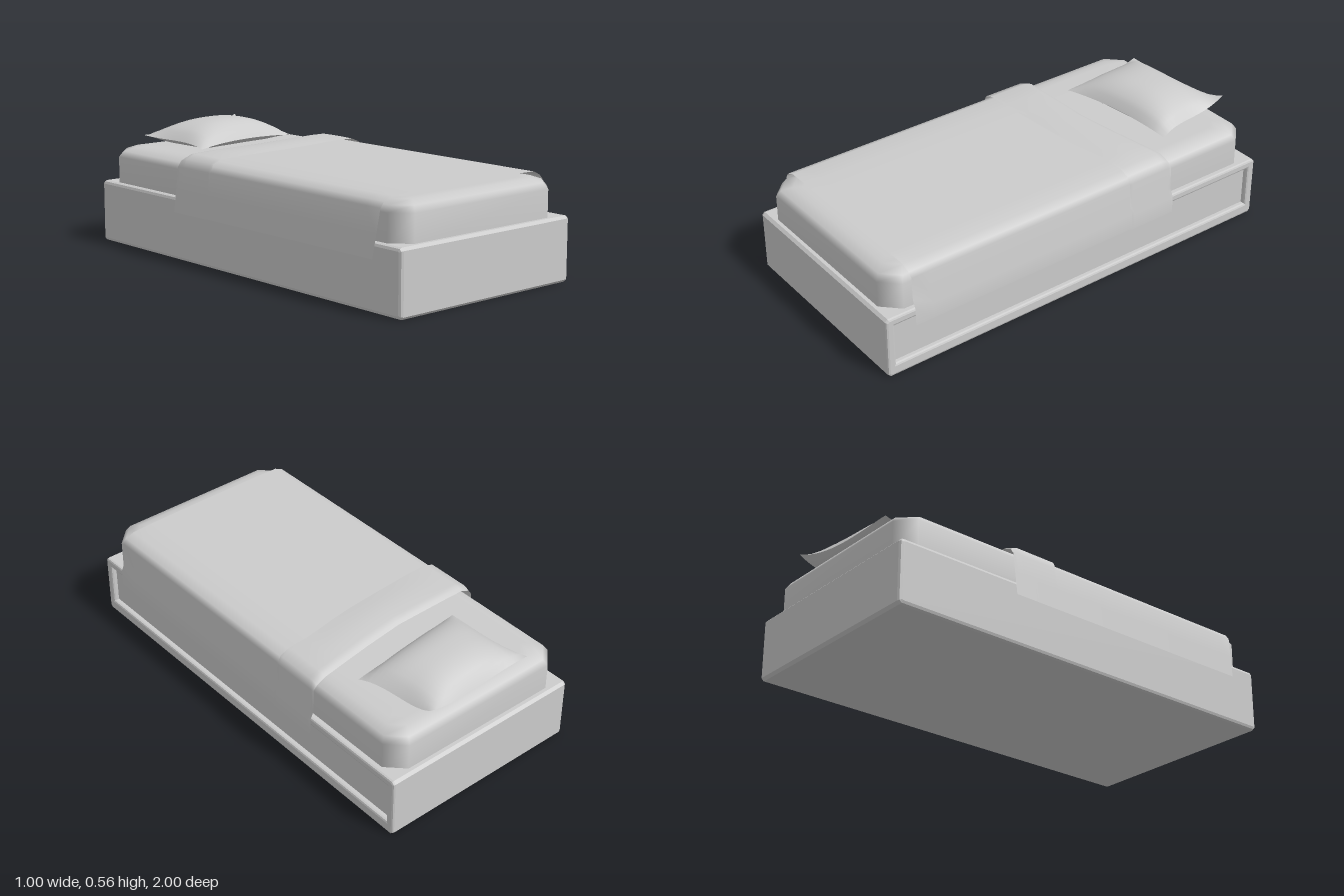
import * as THREE from 'three';
import { mergeVertices } from 'three/addons/utils/BufferGeometryUtils.js';

const grey = new THREE.MeshStandardMaterial({ color: 0xcccccc });
const cloth = new THREE.MeshStandardMaterial({ color: 0xcccccc, side: THREE.DoubleSide });

function addMesh(parent, name, geometry, material = grey) {
  const mesh = new THREE.Mesh(geometry, material);
  mesh.name = name;
  parent.add(mesh);
  return mesh;
}

// Smooth surface over a grid of points; at(i, j) returns [x, y, z]
function gridGeometry(nu, nv, at) {
  const pos = [], index = [];
  for (let i = 0; i <= nu; i++) for (let j = 0; j <= nv; j++) pos.push(...at(i, j));
  for (let i = 0; i < nu; i++) for (let j = 0; j < nv; j++) {
    const a = i * (nv + 1) + j, b = a + 1, c = a + nv + 1, d = c + 1;
    index.push(a, b, c, b, d, c);
  }
  const g = new THREE.BufferGeometry();
  g.setAttribute('position', new THREE.Float32BufferAttribute(pos, 3));
  g.setIndex(index);
  const merged = mergeVertices(g, 1e-5);
  merged.computeVertexNormals();
  return merged;
}

// Piecewise linear lookup in [x, value] pairs
function lookup(points, x) {
  if (x <= points[0][0]) return points[0][1];
  for (let i = 1; i < points.length; i++) {
    const [x0, v0] = points[i - 1], [x1, v1] = points[i];
    if (x <= x1) return v0 + (v1 - v0) * (x - x0) / (x1 - x0);
  }
  return points[points.length - 1][1];
}

// Bevelled slab in the z-y plane, running from x0 to x1
function sideSlab(x0, x1, bevel, hole) {
  const c = 0.012, top = 0.285;
  const shape = new THREE.Shape([
    [-1 + c, 0], [1 - c, 0], [1, c], [1, top - c], [1 - c, top], [-1 + c, top], [-1, top - c], [-1, c],
  ].map(p => new THREE.Vector2(...p)));
  if (hole) {
    const [z, y0, y1] = hole;
    shape.holes.push(new THREE.Path([[-z, y0], [-z, y1], [z, y1], [z, y0]].map(p => new THREE.Vector2(...p))));
  }
  const g = new THREE.ExtrudeGeometry(shape, {
    depth: x1 - x0 - 2 * bevel, bevelEnabled: true, bevelThickness: bevel,
    bevelSize: bevel, bevelOffset: -bevel, bevelSegments: 2,
  });
  return g.translate(0, 0, x0 + bevel).rotateY(Math.PI / 2);
}

// Mattress: eight-sided rings stacked upwards and closed on top
function mattressGeometry() {
  const rings = [[0.27, 0], [0.405, 0], [0.432, 0.018], [0.448, 0.06], [0.451, 0.1], [0.451, 0.3]];
  const ring = inset => {
    const x = 0.462 - inset, z = 0.972 - inset, k = Math.max(0.075 - inset * 0.3, 0.02);
    return [[x, -z + k], [x, z - k], [x - k, z], [-x + k, z], [-x, z - k], [-x, -z + k], [-x + k, -z], [x - k, -z]];
  };
  return gridGeometry(8, rings.length, (i, j) => {
    if (j === rings.length) return [0, 0.451, 0];
    const [y, inset] = rings[j], [x, z] = ring(inset)[i % 8];
    return [x, y, z];
  });
}

// Draped cloth: a cross-section swept between two wavy hems
function drape(profile, headHem, footHem, lift = () => 0) {
  const nv = 16;
  return gridGeometry(profile.length - 1, nv, (i, j) => {
    const [x, y] = profile[i], v = j / nv;
    const z0 = lookup(headHem, x), z1 = lookup(footHem, x);
    return [x, y + lift(v, x), z0 + (z1 - z0) * v];
  });
}

// Pillow half: a skewed patch with pinched sides, puffed up or down
function pillowHalf(side) {
  const n = 16;
  const corners = [[-0.29, 0.485, -0.94], [0.285, 0.53, -0.975], [-0.268, 0.463, -0.52], [0.322, 0.465, -0.59]];
  return gridGeometry(n, n, (i, j) => {
    let u = (side > 0 ? i : n - i) / n;
    let v = j / n;
    const s = 2 * u - 1, t = 2 * v - 1;
    const puff = Math.pow((1 - Math.abs(s) ** 2.6) * (1 - Math.abs(t) ** 2.6), 0.75);
    u -= 0.035 * s * (1 - t * t);
    v -= 0.03 * t * (1 - s * s);
    const p = [0, 1, 2].map(k =>
      (corners[0][k] * (1 - u) + corners[1][k] * u) * (1 - v) + (corners[2][k] * (1 - u) + corners[3][k] * u) * v);
    const seam = 0.478 + (p[1] - 0.478) * (s * s * t * t);
    p[1] = side > 0 ? seam + 0.085 * puff : Math.max(0.453, seam - 0.05 * puff);
    return p;
  });
}

export function createModel() {
  const bed = new THREE.Group();
  bed.name = 'bed';

  // Base box with a framed recess along its left side
  const base = new THREE.Group();
  base.name = 'base';
  bed.add(base);
  addMesh(base, 'baseBody', sideSlab(-0.486, 0.465, 0.015));
  addMesh(base, 'recessFrame', sideSlab(0.435, 0.49, 0.01, [0.96, 0.055, 0.245]));

  addMesh(bed, 'mattress', mattressGeometry());

  // Blanket hanging over both long sides
  const blanket = new THREE.Group();
  blanket.name = 'blanket';
  bed.add(blanket);
  const top = [-0.3, -0.2, -0.1, -0.05, 0.05, 0.15, 0.25, 0.32].map(x => [x, 0.465]);
  const profile = [
    [-0.498, 0.22], [-0.485, 0.32], [-0.472, 0.42], [-0.455, 0.445], [-0.415, 0.463], ...top,
    [0.415, 0.463], [0.455, 0.445], [0.474, 0.425], [0.478, 0.32], [0.494, 0.285], [0.496, 0.207],
  ];
  const headHem = [[-0.5, -0.42], [-0.05, -0.425], [0.15, -0.45], [0.41, -0.49], [0.5, -0.495]];
  const footHem = [[-0.5, 0.85], [-0.47, 0.87], [0.1, 0.87], [0.5, 0.863]];
  addMesh(blanket, 'blanketSheet', drape(profile, headHem, footHem), cloth);

  // Turned-back band at the head end, lying just outside the sheet
  const foldProfile = profile.map(([x, y]) => [x + (Math.abs(x) > 0.45 ? Math.sign(x) * 0.005 : 0), y]);
  const foldHem = [[-0.5, -0.19], [-0.35, -0.19], [-0.1, -0.205], [0.1, -0.22], [0.3, -0.255], [0.5, -0.262]];
  const lift = (v, x) => Math.abs(x) > 0.47 ? 0 : 0.012 * Math.min(1, v * 10) + 0.008 * Math.sin(Math.PI * v) * (1 - (x / 0.47) ** 2);
  addMesh(blanket, 'blanketFold', drape(foldProfile, headHem, foldHem, lift), cloth);

  // Pillow, slightly askew
  const pillow = new THREE.Group();
  pillow.name = 'pillow';
  bed.add(pillow);
  addMesh(pillow, 'pillowTop', pillowHalf(1));
  addMesh(pillow, 'pillowUnderside', pillowHalf(-1));

  return bed;
}
